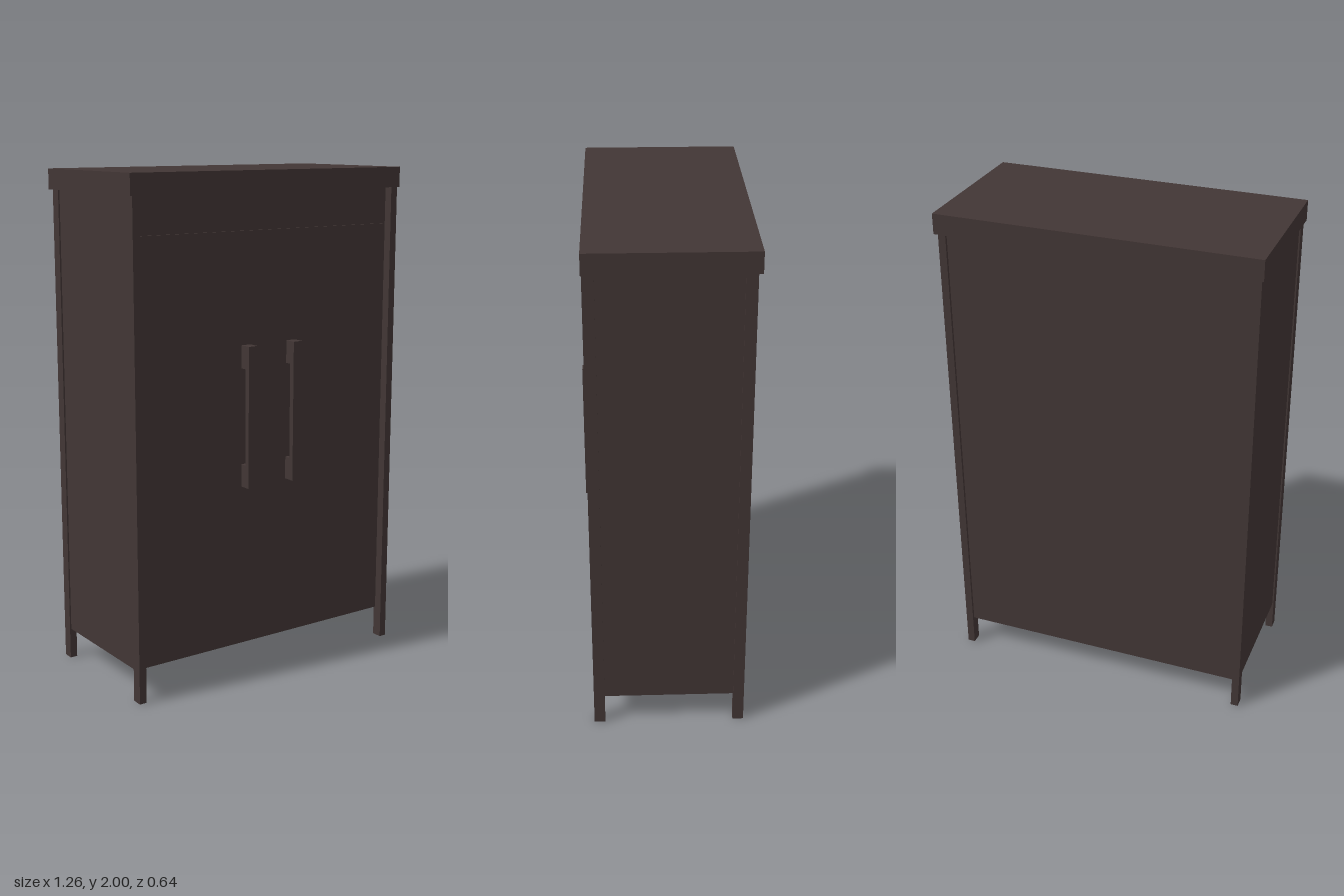
import * as THREE from 'three';

const darkWood = new THREE.MeshStandardMaterial({ color: 0x423635 });
darkWood.name = 'dark wood';

// Box given by its minimum and maximum corners
function box(name, [x0, y0, z0], [x1, y1, z1]) {
  const geometry = new THREE.BoxGeometry(x1 - x0, y1 - y0, z1 - z0);
  const mesh = new THREE.Mesh(geometry, darkWood);
  mesh.name = name;
  mesh.position.set((x0 + x1) / 2, (y0 + y1) / 2, (z0 + z1) / 2);
  return mesh;
}

// Box on the given side (1 = left, -1 = right), measured outward from x = 0
function sideBox(name, side, [x0, y0, z0], [x1, y1, z1]) {
  return side > 0
    ? box(name, [x0, y0, z0], [x1, y1, z1])
    : box(name, [-x1, y0, z0], [-x0, y1, z1]);
}

export function createModel() {
  const cabinet = new THREE.Group();
  cabinet.name = 'cabinet';

  // Carcass, set back between the corner posts, and overhanging top
  cabinet.add(box('carcass', [-0.614, 0.125, -0.292], [0.614, 1.92, 0.262]));
  cabinet.add(box('top', [-0.63, 1.92, -0.318], [0.63, 2, 0.3]));

  for (const side of [1, -1]) {
    const label = side > 0 ? 'left' : 'right';

    // Corner posts running down into the feet
    cabinet.add(sideBox(label + 'FrontLeg', side, [0.59, 0, 0.254], [0.62, 1.92, 0.297]));
    cabinet.add(sideBox(label + 'BackLeg', side, [0.59, 0, -0.303], [0.62, 1.92, -0.26]));

    // Door leaf, slightly proud of the front
    cabinet.add(sideBox(label + 'Door', side, [0, 0.295, 0.25], [0.575, 1.775, 0.27]));

    // Handle: long bar on two standoffs
    const handle = new THREE.Group();
    handle.name = label + 'Handle';
    handle.add(sideBox('bar', side, [0.087, 0.78, 0.296], [0.128, 1.34, 0.318]));
    for (const y of [0.78, 1.25]) {
      handle.add(sideBox('standoff', side, [0.087, y, 0.268], [0.128, y + 0.09, 0.296]));
    }
    cabinet.add(handle);
  }

  return cabinet;
}
